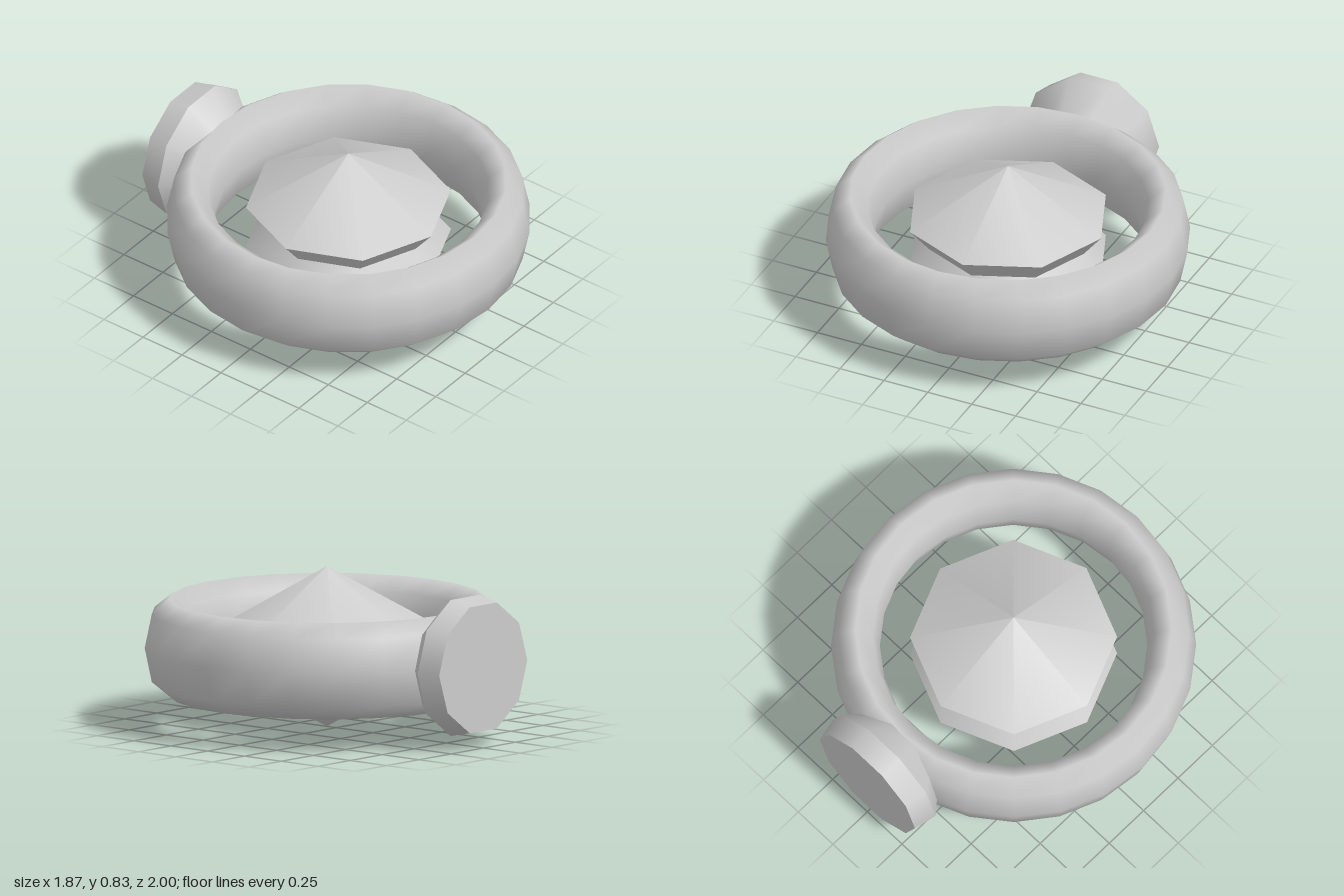
import * as THREE from 'three';

const CENTRE_Y = 0.416;
const RING_Z = 0.063;

export function createModel() {
  const model = new THREE.Group();
  model.name = 'ring';
  const metal = new THREE.MeshStandardMaterial({ color: 0xcccccc });
  metal.name = 'light grey';

  const add = (parent, name, geometry) => {
    const mesh = new THREE.Mesh(geometry, metal);
    mesh.name = name;
    parent.add(mesh);
    return mesh;
  };

  // Open frustum between two heights, with smooth sides and sharp rims
  const frustum = (rTop, rBottom, yTop, yBottom, sides) =>
    new THREE.CylinderGeometry(rTop, rBottom, yTop - yBottom, sides, 1, true)
      .translate(0, (yTop + yBottom) / 2, 0);

  // Band: a torus stretched along its axis
  const band = add(model, 'band',
    new THREE.TorusGeometry(0.81, 0.125, 8, 24).rotateX(Math.PI / 2).scale(1, 2, 1));
  band.position.set(0, CENTRE_Y, RING_Z);

  // Centre gem: two shallow points joined at a narrower waist
  const gem = new THREE.Group();
  gem.name = 'centreGem';
  gem.position.set(0, CENTRE_Y, RING_Z);
  add(gem, 'gemTop', frustum(0, 0.53, 0.416, 0.124, 8));
  add(gem, 'gemUpperWaist', frustum(0.53, 0.43, 0.124, 0, 8));
  add(gem, 'gemLowerWaist', frustum(0.43, 0.53, 0, -0.124, 8));
  add(gem, 'gemBottom', frustum(0.53, 0, -0.124, -0.416, 8));
  model.add(gem);

  // Ten-sided setting stone on the back of the band, facing -z
  const stone = new THREE.Group();
  stone.name = 'backStone';
  stone.position.set(0, CENTRE_Y, -1);
  const addStone = (name, geometry) =>
    add(stone, name, geometry.rotateY(Math.PI / 2).rotateX(Math.PI / 2));
  addStone('stoneCrown', frustum(0.371, 0.343, 0.122, 0, 10));
  addStone('stonePavilion', frustum(0.22, 0.371, 0.3, 0.122, 10));
  addStone('stoneTable', new THREE.CircleGeometry(0.343, 10).rotateX(Math.PI / 2).rotateY(Math.PI / 2));
  model.add(stone);

  return model;
}
